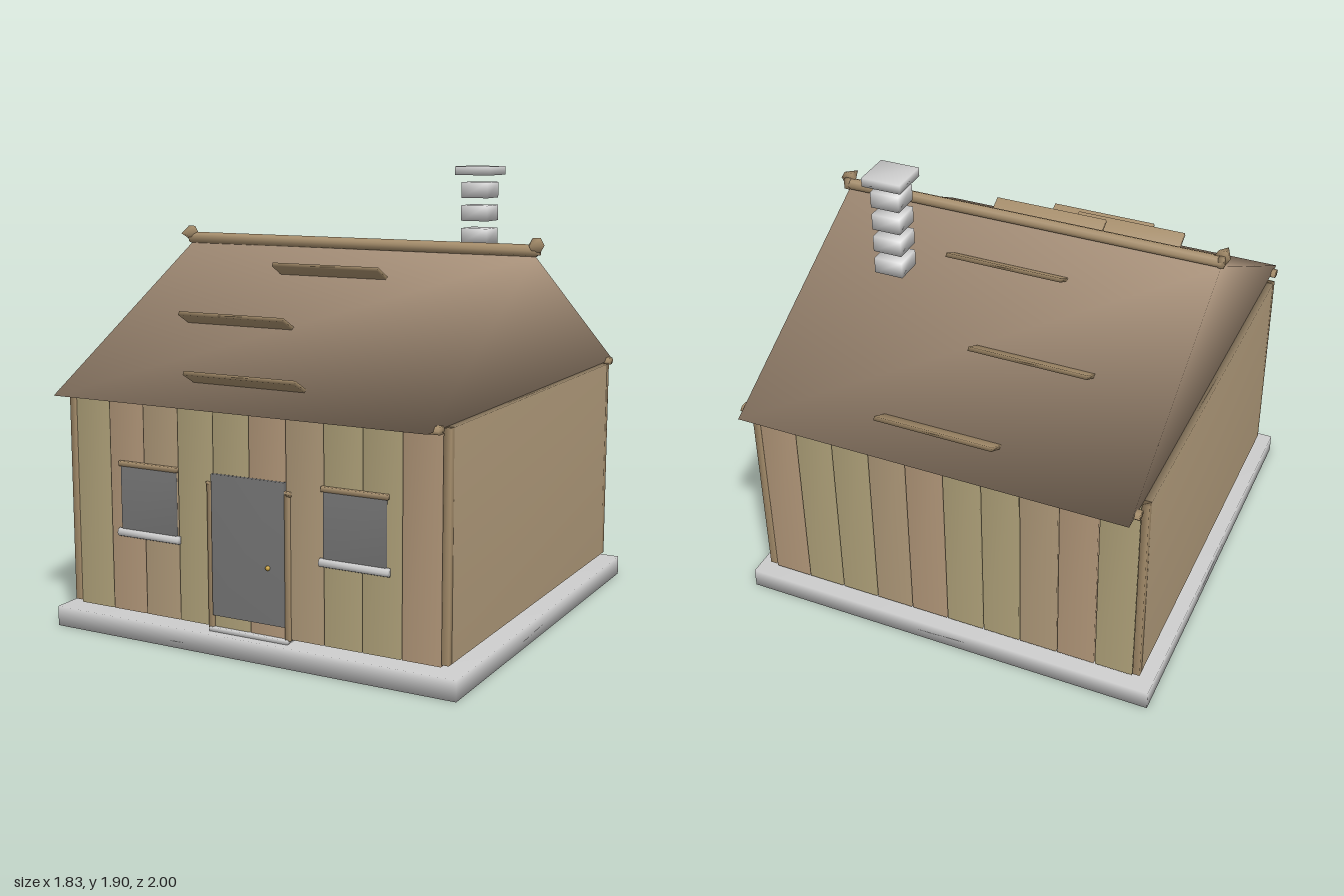
import * as THREE from 'three';
import { mergeVertices } from 'three/addons/utils/BufferGeometryUtils.js';

const paint = (color) => new THREE.MeshStandardMaterial({ color });
const stone = paint(0xcccccc);
const wood = paint(0xb09a7a);
const trim = paint(0xa58d6b);
const roofWood = paint(0xa8917a);
const dark = paint(0x777777);
const brass = paint(0xc8a03c);
const plankTones = [0xb0a27a, 0xb09a7a, 0xb3987a].map(paint);

// Share the corners so the normals blend softly around the shape
function soften(geometry) {
  geometry.deleteAttribute('normal');
  geometry.deleteAttribute('uv');
  const merged = mergeVertices(geometry);
  merged.computeVertexNormals();
  return merged;
}

function add(parent, name, geometry, material, x = 0, y = 0, z = 0) {
  const mesh = new THREE.Mesh(geometry, material);
  mesh.name = name;
  mesh.position.set(x, y, z);
  parent.add(mesh);
  return mesh;
}

// Box given by its low and high limits on each axis
function box(parent, name, material, [x0, x1], [y0, y1], [z0, z1]) {
  const geometry = soften(new THREE.BoxGeometry(x1 - x0, y1 - y0, z1 - z0));
  return add(parent, name, geometry, material, (x0 + x1) / 2, (y0 + y1) / 2, (z0 + z1) / 2);
}

function group(parent, name) {
  const g = new THREE.Group();
  g.name = name;
  parent.add(g);
  return g;
}

function createWalls(house) {
  const walls = group(house, 'walls');
  const count = 10;
  const pitch = 1.66 / count;
  for (const side of [1, -1]) {
    const end = side > 0 ? 'front' : 'back';
    // Upright planks with narrow gaps
    for (let i = 0; i < count; i++) {
      const x = -0.83 + (i + 0.5) * pitch;
      const plank = soften(new THREE.BoxGeometry(pitch - 0.006, 0.9, 0.03));
      add(walls, end + 'Plank', plank, plankTones[(i * 2 + (i >> 2)) % 3], x, 0.55, side * 0.845);
    }
    // Plain side wall
    const wall = soften(new THREE.BoxGeometry(0.03, 0.89, 1.67));
    add(walls, 'sideWall', wall, wood, side * 0.845, 0.555, 0);
    // Corner posts
    for (const z of [0.847, -0.847]) {
      const post = soften(new THREE.BoxGeometry(0.03, 0.89, 0.03));
      add(walls, 'cornerPost', post, trim, side * 0.845, 0.555, z);
    }
  }
}

function createRoof(house) {
  const roof = group(house, 'roof');
  // Solid gabled body
  const profile = new THREE.Shape([
    new THREE.Vector2(-1, 1), new THREE.Vector2(1, 1), new THREE.Vector2(0, 1.55),
  ]);
  const body = new THREE.ExtrudeGeometry(profile, { depth: 1.66, bevelEnabled: false });
  body.translate(0, 0, -0.83).rotateY(Math.PI / 2);
  add(roof, 'roofBody', soften(body), roofWood);

  // Ridge log with pointed end ornaments
  const ridge = new THREE.CylinderGeometry(0.025, 0.025, 1.67, 8).rotateZ(Math.PI / 2);
  add(roof, 'ridgeLog', soften(ridge), trim, 0, 1.573, 0);
  for (const x of [-0.832, 0.832]) {
    const cone = new THREE.ConeGeometry(0.034, 0.084, 6).rotateY(Math.PI / 2).rotateX(Math.PI / 2);
    add(roof, 'ridgeOrnament', soften(cone), trim, x, 1.595, 0.04);
    box(roof, 'ornamentPeg', trim, [x - 0.012, x + 0.012], [1.555, 1.6], [-0.022, 0.004]);
  }

  // Eave logs and raised roof slats, alike on both slopes
  const slats = [[0, 1.47, 0.215], [-0.25, 1.285, 0.548], [0, 1.102, 0.882]];
  for (const side of [1, -1]) {
    const eave = new THREE.CylinderGeometry(0.028, 0.028, 1.7, 6).rotateZ(Math.PI / 2);
    eave.scale(1, 0.62, 1);
    add(roof, 'eaveLog', soften(eave), trim, 0, 1.003, side * 0.923);
    for (const [x, y, z] of slats) {
      const slat = add(roof, 'roofSlat', soften(new THREE.BoxGeometry(0.5, 0.017, 0.1)), trim, x, y, side * z);
      slat.rotation.x = -side * 0.5;
    }
  }
}

function createDoor(house) {
  const door = group(house, 'door');
  box(door, 'doorStep', stone, [-0.18, 0.18], [0.08, 0.1], [0.815, 0.878]);
  box(door, 'doorPanel', dark, [-0.165, 0.165], [0.15, 0.725], [0.845, 0.875]);
  for (const s of [-1, 1]) {
    const post = soften(new THREE.BoxGeometry(0.022, 0.585, 0.03));
    add(door, 'doorPost', post, trim, s * 0.177, 0.388, 0.855);
  }
  box(door, 'doorLintel', trim, [-0.192, 0.192], [0.67, 0.69], [0.84, 0.87]);
  add(door, 'doorKnob', new THREE.SphereGeometry(0.01, 10, 8), brass, 0.095, 0.38, 0.879);
}

function createWindow(house, x) {
  const w = group(house, 'window');
  w.position.x = x;
  box(w, 'windowPane', dark, [-0.133, 0.133], [0.44, 0.715], [0.845, 0.872]);
  box(w, 'windowLintel', trim, [-0.142, 0.142], [0.71, 0.73], [0.845, 0.875]);
  const sill = new THREE.CylinderGeometry(0.018, 0.018, 0.295, 8).rotateZ(Math.PI / 2);
  add(w, 'windowSill', soften(sill), stone, 0, 0.433, 0.868);
}

function createChimney(house) {
  const chimney = group(house, 'chimney');
  chimney.position.set(0.413, 0, -0.39);
  // Separate stacked stones with gaps, then a wide cap
  for (let i = 0; i < 4; i++) {
    const y = 1.465 + i * 0.099;
    box(chimney, 'chimneyStone', stone, [-0.061, 0.061], [y, y + 0.067], [-0.06, 0.06]);
  }
  box(chimney, 'chimneyCap', stone, [-0.083, 0.083], [1.86, 1.897], [-0.083, 0.083]);
}

export function createModel() {
  const house = new THREE.Group();
  house.name = 'cabin';
  box(house, 'foundation', stone, [-0.915, 0.915], [0, 0.083], [-0.915, 0.915]);
  createWalls(house);
  createRoof(house);
  createDoor(house);
  for (const x of [-0.47, 0.47]) createWindow(house, x);
  createChimney(house);
  return house;
}
